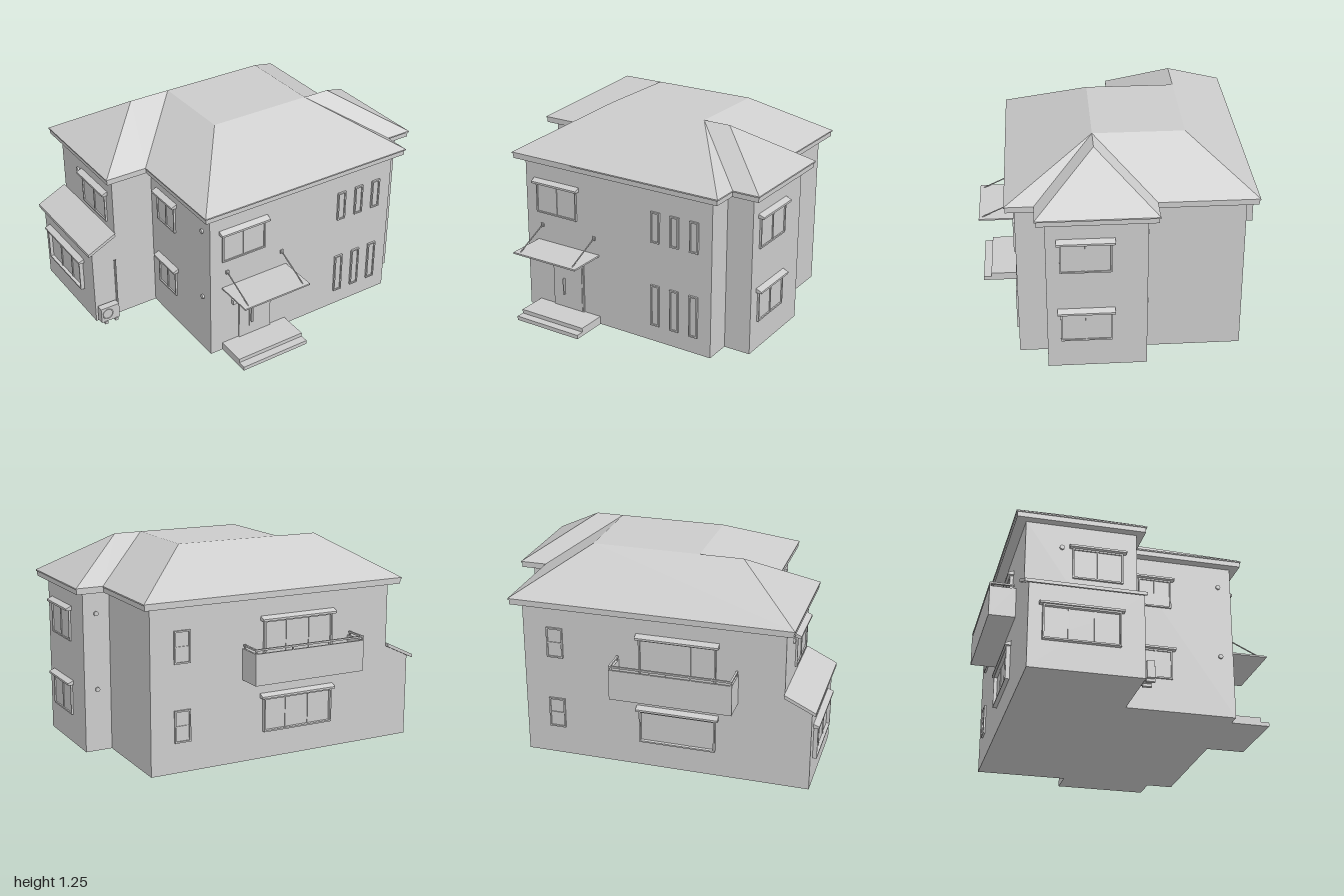
import * as THREE from 'three';

const mat = new THREE.MeshStandardMaterial({ color: 0xcccccc, flatShading: true, side: THREE.DoubleSide });

function add(parent, name, geometry) {
  const mesh = new THREE.Mesh(geometry, mat);
  mesh.name = name;
  parent.add(mesh);
  return mesh;
}

// Box given by its low and high limits on each axis
function box(parent, name, x0, x1, y0, y1, z0, z1) {
  const mesh = add(parent, name, new THREE.BoxGeometry(x1 - x0, y1 - y0, z1 - z0));
  mesh.position.set((x0 + x1) / 2, (y0 + y1) / 2, (z0 + z1) / 2);
  return mesh;
}

// Prism standing on a plan outline of [x, z] points
function planPrism(parent, name, outline, y0, y1) {
  const shape = new THREE.Shape(outline.map(([x, z]) => new THREE.Vector2(x, -z)));
  const geo = new THREE.ExtrudeGeometry(shape, { depth: y1 - y0, bevelEnabled: false });
  geo.rotateX(-Math.PI / 2).translate(0, y0, 0);
  return add(parent, name, geo);
}

// Prism along z with an [x, y] section
function sectionPrism(parent, name, section, z0, z1) {
  const shape = new THREE.Shape(section.map(([x, y]) => new THREE.Vector2(x, y)));
  const geo = new THREE.ExtrudeGeometry(shape, { depth: z1 - z0, bevelEnabled: false });
  return add(parent, name, geo.translate(0, 0, z0));
}

// Round bar between two points
function bar(parent, name, a, b, r) {
  const path = new THREE.LineCurve3(new THREE.Vector3(...a), new THREE.Vector3(...b));
  return add(parent, name, new THREE.TubeGeometry(path, 1, r, 8));
}

// Group lying on a wall: local x runs along the wall, local z points outward
function wallFace(parent, name, angle, x, z) {
  const g = new THREE.Group();
  g.name = name;
  g.rotation.y = angle;
  g.position.set(x, 0, z);
  parent.add(g);
  return g;
}

// Framed window with panes, mullions and an optional sloping hood
function addWindow(face, u, w, y0, y1, { panes = 1, hood = false, depth = 0.012, sill = false } = {}) {
  const g = new THREE.Group();
  g.name = 'window';
  const x0 = u - w / 2, x1 = u + w / 2, t = 0.009;
  box(g, 'windowGlass', x0, x1, y0, y1, -0.005, 0.004);
  box(g, 'frameLeft', x0, x0 + t, y0, y1, 0, depth);
  box(g, 'frameRight', x1 - t, x1, y0, y1, 0, depth);
  box(g, 'frameTop', x0, x1, y1 - t, y1, 0, depth);
  box(g, 'frameBottom', x0, x1, y0, y0 + t, 0, depth);
  for (let i = 1; i < panes; i++) {
    const m = x0 + (w * i) / panes;
    box(g, 'mullion', m - 0.005, m + 0.005, y0, y1, 0, 0.009);
  }
  if (sill) box(g, 'middleRail', x0, x1, (y0 + y1) / 2 - 0.004, (y0 + y1) / 2 + 0.004, 0, 0.009);
  if (hood) {
    const section = [[0, y1], [0.035, y1], [0.035, y1 + 0.012], [0, y1 + 0.027]];
    const h = sectionPrism(g, 'windowHood', section, -w / 2 - 0.018, w / 2 + 0.018);
    h.rotation.y = -Math.PI / 2;
    h.position.x = u;
  }
  face.add(g);
}

function addVent(face, u, y) {
  const v = add(face, 'wallVent', new THREE.CylinderGeometry(0.014, 0.014, 0.012, 12));
  v.rotation.x = Math.PI / 2;
  v.position.set(u, y, 0.005);
}

// Hipped roof from eave and ridge points
function addRoof(parent) {
  const eave = [[-.855, -.765], [.835, -.765], [.835, -.19], [1, -.19], [1, .5],
    [.835, .5], [.835, .665], [-.595, .665], [-.595, 0], [-.855, 0]];
  const ridge = [[-.47, -.38], [-.21, -.38], [.44, -.38], [.44, .155], [-.21, .155], [.61, .155]];
  const pts = [...eave.map(([x, z]) => [x, 1.01, z]), ...ridge.map(([x, z]) => [x, 1.255, z])];
  const faces = [[0, 1, 12, 10], [1, 2, 13, 12], [2, 3, 15, 13], [3, 4, 15], [4, 5, 13, 15],
    [5, 6, 13], [6, 7, 14, 13], [7, 8, 11, 14], [8, 9, 10, 11], [9, 0, 10], [11, 12, 13, 14]];
  const pos = [];
  for (const f of faces) {
    for (let i = 1; i < f.length - 1; i++) pos.push(...pts[f[0]], ...pts[f[i + 1]], ...pts[f[i]]);
  }
  const geo = new THREE.BufferGeometry();
  geo.setAttribute('position', new THREE.Float32BufferAttribute(pos, 3));
  geo.computeVertexNormals();
  add(parent, 'roofSlopes', geo);
  // Eave board with a thin lip of tiles above it
  const inset = eave.map(([x, z], i) => [x - Math.sign(x) * 0.006, z - (i === 8 || i === 9 ? 1 : Math.sign(z)) * 0.006]);
  planPrism(parent, 'eaveBoard', inset, 0.972, 1.004);
  planPrism(parent, 'eaveLip', eave, 1.002, 1.01);
}

export function createModel() {
  const house = new THREE.Group();
  house.name = 'house';

  planPrism(house, 'walls', [[-.8, -.7], [.775, -.7], [.775, -.13], [.94, -.13], [.94, .445],
    [.775, .445], [.775, .61], [-.535, .61], [-.535, -.05], [-.8, -.05]], 0, 0.98);
  addRoof(house);

  const front = wallFace(house, 'frontWall', 0, 0, 0.61);
  const back = wallFace(house, 'backWall', Math.PI, 0, -0.7);
  const leftBay = wallFace(house, 'leftBayWall', Math.PI / 2, 0.94, 0);
  const bayBack = wallFace(house, 'bayBackWall', Math.PI, 0, -0.13);
  const rightMain = wallFace(house, 'rightMainWall', -Math.PI / 2, -0.535, 0);
  const rightWing = wallFace(house, 'rightWingWall', -Math.PI / 2, -0.8, 0);
  const annexFace = wallFace(house, 'annexWall', -Math.PI / 2, -0.96, 0);

  // Front windows
  for (const x of [0.4, 0.53, 0.66]) {
    addWindow(front, x, 0.058, 0.635, 0.825);
    addWindow(front, x, 0.058, 0.105, 0.365);
  }
  addWindow(front, -0.307, 0.295, 0.64, 0.83, { panes: 2, hood: true });

  // Side windows on both floors
  for (const [y0, y1] of [[0.64, 0.83], [0.18, 0.37]]) {
    addWindow(leftBay, -0.22, 0.295, y0, y1, { panes: 2, hood: true });
    addWindow(rightMain, 0.13, 0.2, y0 + 0.02, y1 + 0.01, { panes: 2, hood: true });
    addWindow(back, -0.58, 0.1, y0, y1, { sill: true });
  }
  addWindow(rightWing, -0.28, 0.295, 0.64, 0.83, { panes: 2, hood: true });
  addWindow(annexFace, -0.405, 0.435, 0.165, 0.37, { panes: 3, hood: true, depth: 0.025 });

  // Back window and balcony door
  addWindow(back, 0.17, 0.46, 0.165, 0.37, { panes: 3, hood: true, depth: 0.025 });
  addWindow(back, 0.17, 0.46, 0.5, 0.83, { panes: 3, hood: true, depth: 0.02 });

  // Wall vents
  for (const y of [0.84, 0.38]) {
    addVent(bayBack, -0.86, y);
    addVent(rightMain, 0.53, y);
  }
  addVent(rightWing, -0.49, 0.83);

  // Entrance: door, intercom, steps and canopy
  box(front, 'door', -0.34, -0.115, 0.05, 0.39, 0, 0.01);
  box(front, 'doorPanel', -0.27, -0.125, 0.055, 0.38, 0, 0.014);
  box(front, 'doorHandle', -0.26, -0.25, 0.14, 0.245, 0.01, 0.028);
  box(front, 'intercom', -0.39, -0.36, 0.32, 0.35, 0, 0.022);
  box(front, 'upperStep', -0.455, 0, 0, 0.05, 0, 0.185);
  box(front, 'lowerStep', -0.455, 0, 0, 0.025, 0, 0.235);
  box(front, 'canopy', -0.455, 0, 0.447, 0.457, 0, 0.245);
  for (const x of [-0.42, -0.035]) {
    bar(front, 'canopyRod', [x, 0.455, 0.225], [x, 0.56, 0], 0.004);
    box(front, 'rodAnchor', x - 0.01, x + 0.01, 0.548, 0.57, 0, 0.008);
  }

  // Balcony tray with a handrail
  const balcony = new THREE.Group();
  balcony.name = 'balcony';
  house.add(balcony);
  box(balcony, 'balconyFloor', -0.53, 0.195, 0.494, 0.51, -0.85, -0.7);
  box(balcony, 'balconyFront', -0.53, 0.195, 0.494, 0.68, -0.855, -0.843);
  for (const x of [-0.53, 0.183]) {
    box(balcony, 'balconySide', x, x + 0.012, 0.494, 0.68, -0.85, -0.7);
    box(balcony, 'sideRail', x, x + 0.012, 0.696, 0.706, -0.855, -0.71);
    for (const z of [-0.85, -0.72]) box(balcony, 'railPost', x + 0.002, x + 0.01, 0.68, 0.7, z - 0.004, z + 0.004);
  }
  box(balcony, 'frontRail', -0.53, 0.195, 0.696, 0.706, -0.855, -0.843);
  for (const x of [-0.29, -0.05]) box(balcony, 'railPost', x - 0.004, x + 0.004, 0.68, 0.7, -0.854, -0.846);

  // Lean-to annex with its sloping roof
  sectionPrism(house, 'annexWalls', [[-.96, 0], [-.8, 0], [-.8, .585], [-.96, .5]], -0.7, -0.05);
  sectionPrism(house, 'annexRoof', [[-.985, .49], [-.8, .578], [-.8, .6], [-.985, .51]], -0.725, -0.04);

  // Outdoor air conditioner with its pipe
  box(house, 'airConditioner', -0.95, -0.825, 0.015, 0.115, -0.04, 0.005);
  for (const x of [-0.93, -0.86]) box(house, 'airConditionerFoot', x, x + 0.02, 0, 0.018, -0.04, 0.012);
  const fan = add(house, 'fanGrille', new THREE.TorusGeometry(0.034, 0.003, 6, 20));
  fan.position.set(-0.905, 0.066, 0.005);
  bar(house, 'pipe', [-0.812, 0.05, -0.043], [-0.812, 0.41, -0.043], 0.007);
  bar(house, 'pipeElbow', [-0.83, 0.05, -0.035], [-0.808, 0.05, -0.043], 0.007);

  return house;
}
